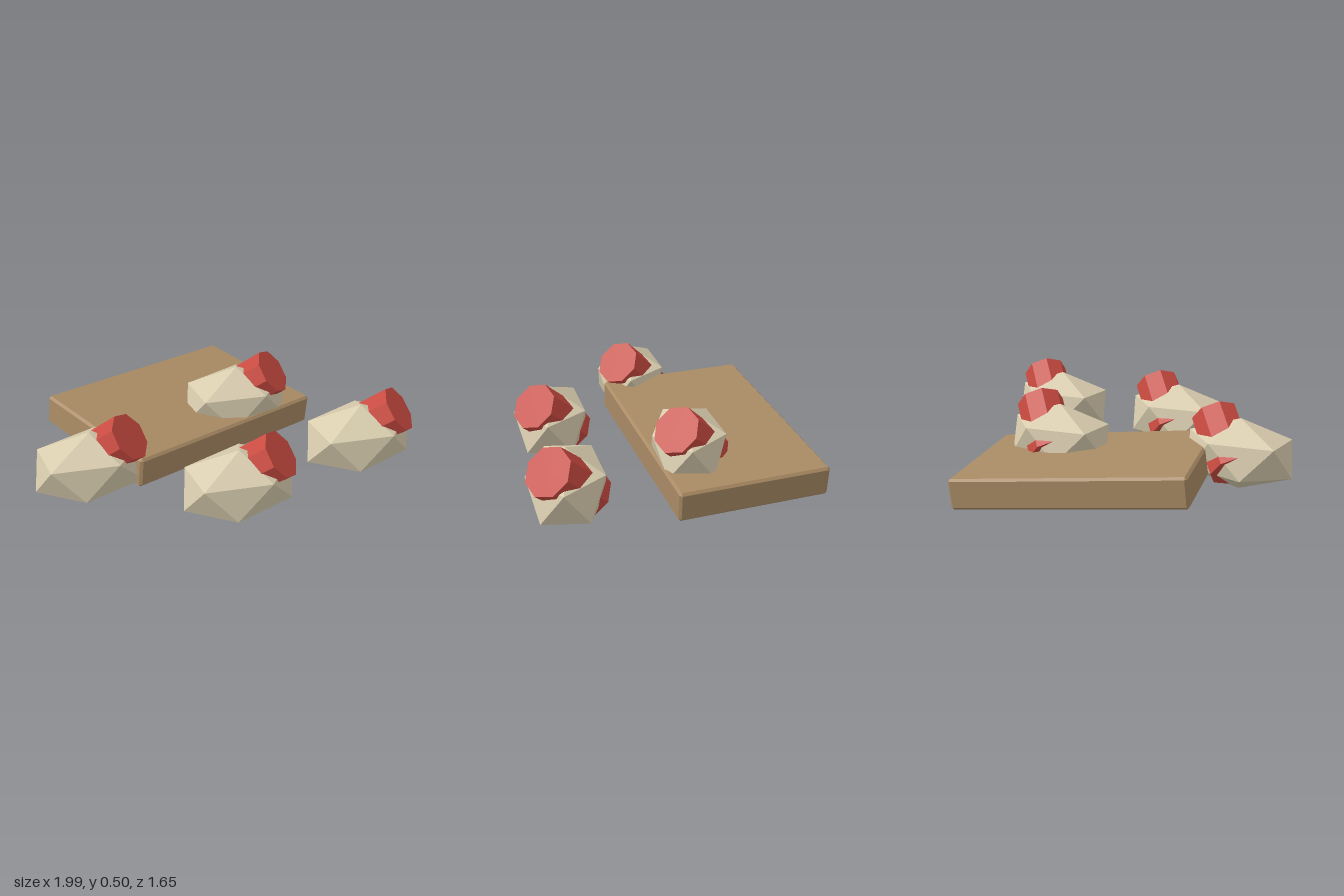
import * as THREE from 'three';
import { ConvexGeometry } from 'three/addons/geometries/ConvexGeometry.js';

const material = (name, color) => {
  const m = new THREE.MeshStandardMaterial({ color, flatShading: true });
  m.name = name;
  return m;
};

// Box with a narrow flat chamfer on every edge
function chamferedBox(w, h, d, c) {
  const points = [];
  for (const x of [-w / 2, w / 2])
    for (const y of [-h / 2, h / 2])
      for (const z of [-d / 2, d / 2]) {
        const [a, b, e] = [x, y, z].map((v) => v - Math.sign(v) * c);
        points.push(new THREE.Vector3(x, b, e), new THREE.Vector3(a, y, e), new THREE.Vector3(a, b, z));
      }
  return new ConvexGeometry(points);
}

// Faceted stone: a pole-up icosahedron, stretched to the given radii
function stoneGeometry(rx, ry, rz) {
  const points = [new THREE.Vector3(0, ry, 0), new THREE.Vector3(0, -ry, 0)];
  const ring = 2 / Math.sqrt(5);
  for (let i = 0; i < 10; i++) {
    const a = (i * Math.PI) / 5;
    const side = i % 2 ? -1 : 1;
    points.push(new THREE.Vector3(ring * Math.cos(a) * rx, (side * ry) / Math.sqrt(5), ring * Math.sin(a) * rz));
  }
  return new ConvexGeometry(points);
}

export function createModel() {
  const model = new THREE.Group();
  model.name = 'stonesAndBoard';
  const wood = material('wood', 0xa98a64);
  const stone = material('paleStone', 0xd8ccae);
  const red = material('red', 0xc84a40);

  // Thick board, turned and sloping down to its right-hand end
  const board = new THREE.Mesh(chamferedBox(1.257, 0.166, 0.838, 0.013), wood);
  board.name = 'board';
  board.rotation.set(0, 0.301, -0.103, 'YXZ');
  board.position.set(-0.015, 0.148, -0.242);
  model.add(board);

  // Stones, each with a slanted red peg running through it
  const stoneGeo = stoneGeometry(0.337, 0.195, 0.226);
  const length = 0.36;
  const pegGeo = new THREE.CylinderGeometry(0.13, 0.13, length, 8);
  const axis = new THREE.Vector3(0.59, 0.635, 0.5).normalize();
  const spots = [[-0.7, 0.182], [-0.075, 0.635], [0.692, 0.524], [0.267, -0.1]];
  spots.forEach(([x, z], i) => {
    const group = new THREE.Group();
    group.name = `peggedStone${i + 1}`;
    group.position.set(x, 0.237, z);
    const body = new THREE.Mesh(stoneGeo, stone);
    body.name = 'stone';
    const peg = new THREE.Mesh(pegGeo, red);
    peg.name = 'peg';
    peg.quaternion.setFromUnitVectors(new THREE.Vector3(0, 1, 0), axis);
    peg.position.set(-0.02, -0.065, -0.105).addScaledVector(axis, length / 2);
    group.add(body, peg);
    model.add(group);
  });

  return model;
}
